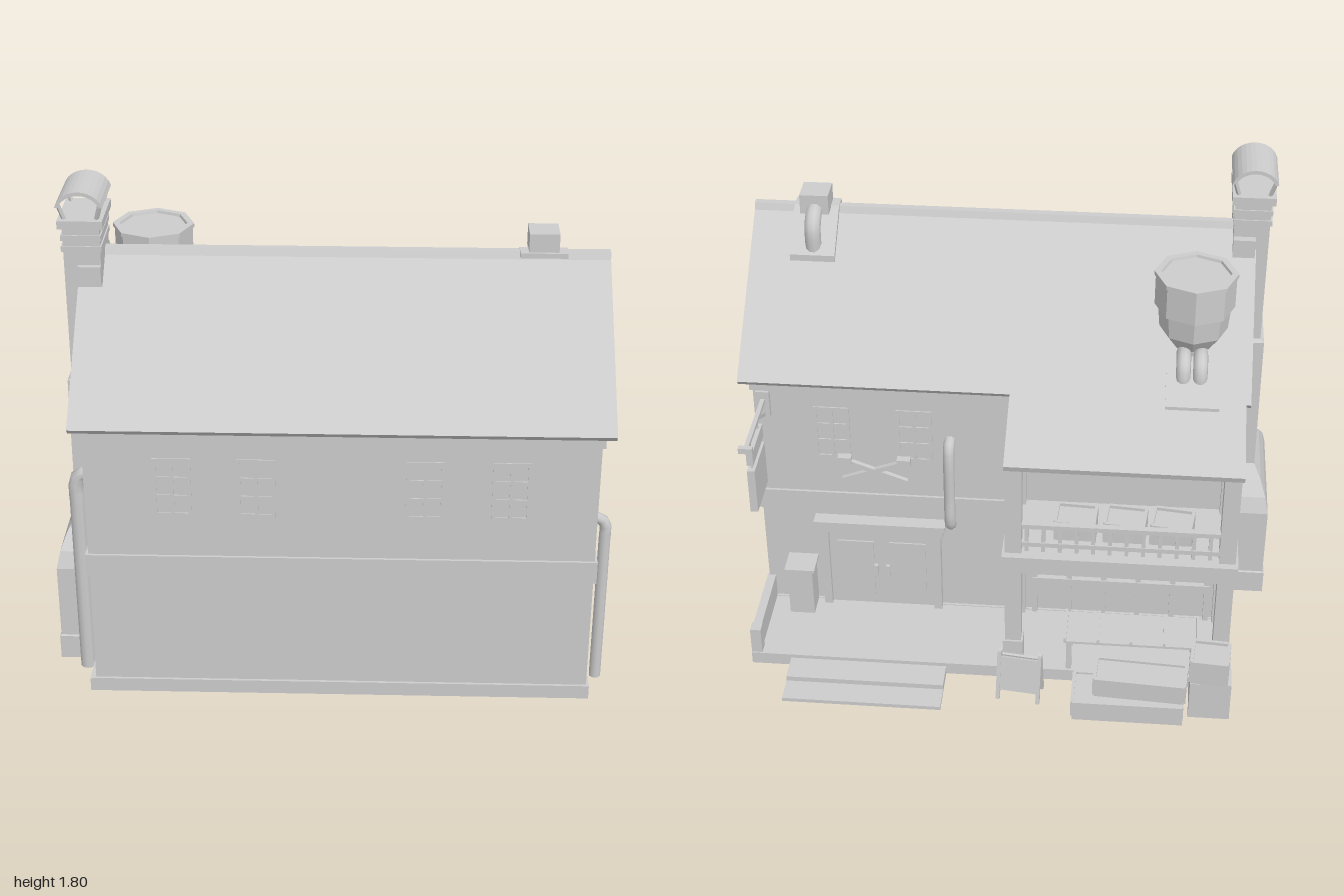
import * as THREE from 'three';

export function createModel() {
  const root = new THREE.Group();
  const mat = new THREE.MeshStandardMaterial({ color: 0xcccccc, side: THREE.DoubleSide });
  const flat = new THREE.MeshStandardMaterial({ color: 0xcccccc, side: THREE.DoubleSide, flatShading: true });

  const add = (name, geo, m = mat, parent = root) => {
    const mesh = new THREE.Mesh(geo, m);
    mesh.name = name;
    parent.add(mesh);
    return mesh;
  };
  // Box given by its limits on each axis
  const box = (name, x0, x1, y0, y1, z0, z1, parent = root) => {
    const b = add(name, new THREE.BoxGeometry(x1 - x0, y1 - y0, z1 - z0), mat, parent);
    b.position.set((x0 + x1) / 2, (y0 + y1) / 2, (z0 + z1) / 2);
    return b;
  };
  // Side profile of [z, y] points stretched along x
  const prism = (name, pts, x0, x1) => {
    const shape = new THREE.Shape(pts.map(p => new THREE.Vector2(p[0], p[1])));
    const g = new THREE.ExtrudeGeometry(shape, { depth: x1 - x0, bevelEnabled: false });
    return add(name, g.rotateY(-Math.PI / 2).translate(x1, 0, 0));
  };
  const pipe = (name, pts, r) => {
    const c = new THREE.CatmullRomCurve3(pts.map(p => new THREE.Vector3(...p)), false, 'centripetal');
    return add(name, new THREE.TubeGeometry(c, 28, r, 10));
  };
  // Straight square bar between two points
  const bar = (name, a, b, t) => {
    const p = new THREE.Vector3(...a), q = new THREE.Vector3(...b);
    const m = add(name, new THREE.BoxGeometry(t, t, p.distanceTo(q)));
    m.position.copy(p).add(q).multiplyScalar(0.5);
    m.lookAt(q);
    return m;
  };
  // Rectangular sections [y, x0, x1, z0, z1] joined from bottom to top
  const loft = (name, secs) => {
    const pos = [], idx = [];
    secs.forEach(([y, x0, x1, z0, z1], i) => {
      pos.push(x0, y, z0, x0, y, z1, x1, y, z1, x1, y, z0);
      if (i) for (let k = 0; k < 4; k++) {
        const a = (i - 1) * 4 + k, b = (i - 1) * 4 + (k + 1) % 4;
        idx.push(a, b, b + 4, a, b + 4, a + 4);
      }
    });
    const n = pos.length / 3 - 4;
    idx.push(n, n + 1, n + 2, n, n + 2, n + 3, 0, 2, 1, 0, 3, 2);
    const g = new THREE.BufferGeometry();
    g.setAttribute('position', new THREE.Float32BufferAttribute(pos, 3));
    g.setIndex(idx);
    g.computeVertexNormals();
    return add(name, g, flat);
  };

  // Ground slab with an opening underneath
  const slab = new THREE.Shape([[-0.86, -0.715], [0.94, -0.715], [0.94, 0.57], [-0.86, 0.57]].map(p => new THREE.Vector2(...p)));
  slab.holes.push(new THREE.Path([[-0.34, -0.345], [-0.34, 0.22], [0.53, 0.22], [0.53, -0.345]].map(p => new THREE.Vector2(...p))));
  add('groundSlab', new THREE.ExtrudeGeometry(slab, { depth: 0.05, bevelEnabled: false }).rotateX(-Math.PI / 2).translate(0, 0.007, 0));

  // Walls and gables
  const gable = [[0.705, 0.05], [0.705, 1.125], [0.24, 1.52], [-0.225, 1.125], [-0.225, 0.05]];
  prism('gableWall', gable, 0.91, 0.93);
  prism('gableWall', gable, -0.84, -0.82);
  box('frontWall', -0.84, 0.93, 0.05, 1.12, 0.685, 0.705);
  box('backWall', -0.84, 0.93, 0.05, 1.12, -0.225, -0.205);

  // Horizontal trim bands around the walls
  const band = (y0, y1, d) => {
    box('trimFront', -0.84 - d, 0.93 + d, y0, y1, 0.7, 0.705 + d);
    box('trimBack', -0.84 - d, 0.93 + d, y0, y1, -0.225 - d, -0.22);
    box('trimSide', 0.92, 0.93 + d, y0, y1, -0.225, 0.705);
    box('trimSide', -0.84 - d, -0.83, y0, y1, -0.225, 0.705);
  };
  band(0.05, 0.06, 0.01);
  band(0.495, 0.58, 0.01);
  band(1.03, 1.1, 0.01);

  // Main roof, ridge cap and porch roof
  prism('mainRoof', [[0.24, 1.55], [0.768, 1.1], [0.75, 1.08], [0.24, 1.51], [-0.272, 1.08], [-0.288, 1.1]], -0.875, 0.97);
  prism('ridgeCap', [[0.215, 1.53], [0.225, 1.555], [0.252, 1.555], [0.265, 1.53]], -0.875, 0.97);
  prism('porchRoof', [[-0.205, 1.185], [-0.6, 1.008], [-0.592, 0.985], [-0.2, 1.16]], -0.855, -0.02);

  // Windows with frames and glazing bars
  const windowAt = (x, zFace, s) => {
    const g = new THREE.Group();
    g.name = 'window';
    for (const k of [-1, 0, 1]) box('upright', k * 0.06 - 0.006, k * 0.06 + 0.006, 0.74, 0.965, 0, 0.008, g);
    for (let i = 0; i < 4; i++) box('crossbar', -0.066, 0.066, 0.74 + i * 0.071, 0.752 + i * 0.071, 0, 0.008, g);
    g.position.set(x, 0, zFace);
    g.scale.z = s;
    root.add(g);
  };
  for (const x of [-0.535, -0.245, 0.335, 0.63]) windowAt(x, 0.701, 1);
  for (const x of [0.34, 0.645]) windowAt(x, -0.222, -1);

  // Chimney with rounded shoulders, collars and arched hood
  loft('chimney', [[0.007, -1, -0.83, 0.01, 0.51], [0.1, -1, -0.83, 0.01, 0.51], [0.105, -0.995, -0.83, 0.015, 0.505],
    [0.39, -0.995, -0.83, 0.015, 0.505], [0.45, -0.982, -0.83, 0.04, 0.48], [0.5, -0.962, -0.83, 0.085, 0.43], [0.54, -0.935, -0.82, 0.14, 0.37],
    [1.09, -0.932, -0.8, 0.145, 0.37], [1.1, -0.918, -0.79, 0.16, 0.36], [1.66, -0.918, -0.79, 0.16, 0.36]]);
  for (const [y, h, d] of [[1.58, 0.02, 0.005], [1.62, 0.02, 0.005], [1.665, 0.03, 0.013]])
    box('chimneyCollar', -0.92 - d, -0.79 + d, y, y + h, 0.16 - d, 0.36 + d);
  box('chimneyFlashing', -0.87, -0.79, 1.46, 1.53, 0.13, 0.38);
  const hood = new THREE.Shape();
  hood.moveTo(-0.937, 1.745);
  hood.bezierCurveTo(-0.915, 1.82, -0.795, 1.82, -0.773, 1.745);
  hood.lineTo(-0.785, 1.745);
  hood.bezierCurveTo(-0.81, 1.802, -0.9, 1.802, -0.925, 1.745);
  add('chimneyHood', new THREE.ExtrudeGeometry(hood, { depth: 0.225, bevelEnabled: false }).translate(0, 0, 0.15));
  for (const sx of [-1, 1]) for (const z of [0.175, 0.345])
    bar('hoodLeg', [-0.855 + sx * 0.055, 1.69, z], [-0.855 + sx * 0.072, 1.75, z + (z - 0.26) * 0.15], 0.012);

  // Eight-sided roof tank with its feed pipes
  const tank = [[0, 1.12], [0.075, 1.12], [0.078, 1.23], [0.122, 1.29], [0.13, 1.375], [0.143, 1.38], [0.143, 1.5],
    [0.149, 1.5], [0.149, 1.515], [0.125, 1.515], [0.122, 1.505], [0, 1.505]];
  add('roofTank', new THREE.LatheGeometry(tank.map(p => new THREE.Vector2(...p)), 8), flat).position.set(-0.66, 0, -0.08);
  prism('tankPipePlate', [[-0.21, 1.195], [-0.36, 1.128], [-0.36, 1.11], [-0.21, 1.17]], -0.76, -0.57);
  for (const x of [-0.69, -0.63])
    pipe('tankPipe', [[x, 1.22, -0.13], [x, 1.23, -0.2], [x, 1.215, -0.232], [x, 1.185, -0.245], [x, 1.13, -0.245]], 0.026);

  // Ridge vent
  prism('ventPlate', [[0.28, 1.558], [0.22, 1.558], [0.07, 1.43], [0.07, 1.4], [0.24, 1.54], [0.28, 1.54]], 0.655, 0.82);
  box('ventBox', 0.685, 0.79, 1.55, 1.625, 0.165, 0.27);
  pipe('ventPipe', [[0.737, 1.565, 0.19], [0.737, 1.555, 0.14], [0.737, 1.52, 0.11], [0.737, 1.42, 0.108]], 0.03);

  // Downpipes
  pipe('drainPipe', [[0.92, 0.675, 0.565], [0.955, 0.675, 0.565], [0.977, 0.645, 0.565], [0.977, 0.6, 0.565], [0.977, 0.007, 0.565]], 0.021);
  pipe('drainPipe', [[-0.83, 0.82, 0.55], [-0.875, 0.815, 0.55], [-0.892, 0.775, 0.55], [-0.892, 0.7, 0.55], [-0.892, 0.007, 0.55]], 0.028);
  pipe('drainPipe', [[0.21, 0.84, -0.22], [0.21, 0.83, -0.255], [0.21, 0.79, -0.267], [0.21, 0.6, -0.267],
    [0.21, 0.51, -0.267], [0.21, 0.475, -0.255], [0.21, 0.455, -0.22]], 0.021);

  // Balcony, posts and brackets
  box('balconyFloor', -0.85, -0.02, 0.5, 0.55, -0.555, -0.22);
  box('balconyEdge', -0.86, -0.01, 0.55, 0.585, -0.572, -0.22);
  box('porchBeam', -0.85, -0.03, 0.985, 1.015, -0.54, -0.49);
  for (const x of [-0.82, -0.05]) {
    box('porchPost', x - 0.03, x + 0.03, 0.05, 1.0, -0.545, -0.482);
    box('postFoot', x - 0.037, x + 0.037, 0.05, 0.17, -0.553, -0.475);
    box('wallPost', x - 0.025, x + 0.025, 0.05, 1.1, -0.255, -0.22);
    prism('balconyBracket', [[-0.22, 0.505], [-0.385, 0.505], [-0.375, 0.475], [-0.26, 0.452], [-0.22, 0.452]], x - 0.02, x + 0.02);
    bar('roofBeam', [x, 1.01, -0.5], [x, 1.12, -0.24], 0.03);
    bar('postBracket', [x, 0.93, -0.5], [x, 1.02, -0.42], 0.018);
  }
  // Railings
  for (const y of [0.61, 0.69]) {
    box('rail', -0.82, -0.05, y, y + 0.018, -0.535, -0.51);
    for (const x of [-0.82, -0.05]) box('sideRail', x - 0.01, x + 0.01, y, y + 0.018, -0.51, -0.25);
  }
  for (let i = 1; i < 13; i++) box('baluster', -0.825 + i * 0.06, -0.811 + i * 0.06, 0.585, 0.69, -0.53, -0.515);
  for (const x of [-0.82, -0.05]) for (const z of [-0.46, -0.41, -0.36])
    box('sideBaluster', x - 0.007, x + 0.007, 0.585, 0.69, z - 0.007, z + 0.007);
  // Open crate: four sides and a filling
  const crate = (x, y, z, w, h, d, turn = 0) => {
    const g = new THREE.Group();
    g.name = 'crate';
    box('crateFilling', -w / 2, w / 2, 0, h * 0.88, -d / 2, d / 2, g);
    for (const s of [-1, 1]) {
      box('crateSide', s * w / 2 - 0.006, s * w / 2 + 0.006, 0, h, -d / 2, d / 2, g);
      box('crateFace', -w / 2, w / 2, 0, h, s * d / 2 - 0.006, s * d / 2 + 0.006, g);
    }
    g.position.set(x, y, z);
    g.rotation.y = turn;
    root.add(g);
  };
  for (const x of [-0.62, -0.45, -0.27]) crate(x, 0.585, -0.42, 0.14, 0.1, 0.11, x * 0.2);

  // Double door with frame, lintel and crossed ornament
  for (const x of [0.38, 0.58]) {
    box('doorLeaf', x - 0.1, x + 0.1, 0.05, 0.4, -0.24, -0.22);
    box('doorPanel', x - 0.07, x + 0.07, 0.1, 0.36, -0.246, -0.24);
    box('doorHandle', x + (x < 0.5 ? 0.07 : -0.085), x + (x < 0.5 ? 0.085 : -0.07), 0.2, 0.25, -0.255, -0.24);
  }
  for (const x of [0.265, 0.695]) box('doorPost', x - 0.015, x + 0.015, 0.05, 0.45, -0.26, -0.22);
  box('doorLintel', 0.24, 0.72, 0.41, 0.45, -0.265, -0.22);
  box('doorCornice', 0.23, 0.73, 0.45, 0.47, -0.28, -0.22);
  for (const s of [-1, 1]) {
    bar('crossedBar', [0.49 - s * 0.12, 0.66, -0.25], [0.49 + s * 0.12, 0.75, -0.25], 0.018);
    box('crossedHead', 0.49 + s * 0.11 - 0.025, 0.49 + s * 0.11 + 0.025, 0.735, 0.765, -0.265, -0.235);
  }

  // Shop front and display table below the balcony
  box('shopSill', -0.78, -0.1, 0.2, 0.23, -0.25, -0.22);
  box('shopHeader', -0.78, -0.1, 0.44, 0.47, -0.25, -0.22);
  for (let i = 0; i < 6; i++) box('shopMullion', -0.78 + i * 0.132, -0.76 + i * 0.132, 0.05, 0.47, -0.245, -0.22);
  box('displayTable', -0.74, -0.24, 0.19, 0.2, -0.57, -0.4);
  for (let i = 0; i < 5; i++) box('tableDivider', -0.74 + i * 0.1225, -0.73 + i * 0.1225, 0.2, 0.212, -0.57, -0.4);
  for (const x of [-0.72, -0.26]) for (const z of [-0.55, -0.42]) box('tableLeg', x - 0.01, x + 0.01, 0.05, 0.19, z - 0.01, z + 0.01);

  // Cabinet, kerb and steps beside the door
  box('cabinet', 0.74, 0.835, 0.05, 0.26, -0.325, -0.22);
  box('cabinetTop', 0.73, 0.845, 0.26, 0.272, -0.332, -0.22);
  box('kerb', 0.905, 0.937, 0.05, 0.155, -0.54, -0.22);
  box('kerbPost', 0.9, 0.94, 0.05, 0.165, -0.565, -0.52);
  box('upperStep', 0.2, 0.79, 0.007, 0.042, -0.675, -0.565);
  box('lowerStep', 0.2, 0.79, 0.007, 0.022, -0.77, -0.67);

  // Goods stacked in front of the porch
  box('lowPallet', -0.69, -0.285, 0, 0.02, -0.77, -0.6);
  crate(-0.485, 0.015, -0.685, 0.4, 0.07, 0.165);
  crate(-0.53, 0.085, -0.675, 0.33, 0.08, 0.12, -0.06);
  box('sideStand', -0.86, -0.71, 0.007, 0.17, -0.73, -0.6);
  crate(-0.78, 0.17, -0.665, 0.13, 0.1, 0.12, -0.08);

  // Folding board
  const board = new THREE.Group();
  board.name = 'foldingBoard';
  for (const s of [-1, 1]) {
    const leaf = box('boardLeaf', -0.075, 0.075, 0.04, 0.18, -0.005, 0.005, board);
    leaf.position.z = s * 0.022;
    leaf.rotation.x = -s * 0.2;
    for (const x of [-0.075, 0.075]) {
      const leg = box('boardLeg', x - 0.007, x + 0.007, 0, 0.2, -0.008, 0.008, board);
      leg.position.z = s * 0.024;
      leg.rotation.x = -s * 0.2;
    }
  }
  board.position.set(-0.085, 0.003, -0.65);
  board.rotation.y = -0.12;
  root.add(board);

  // Hanging sign on a bracket
  box('signArm', 0.884, 0.9, 0.985, 1.0, -0.56, -0.22);
  box('signArmEnd', 0.868, 0.918, 0.982, 1.004, -0.565, -0.545);
  box('signWallPlate', 0.868, 0.918, 0.92, 1.03, -0.245, -0.22);
  bar('signBrace', [0.892, 0.93, -0.24], [0.892, 0.99, -0.35], 0.014);
  box('upperSign', 0.88, 0.904, 0.895, 0.95, -0.515, -0.33);
  box('lowerSign', 0.878, 0.906, 0.69, 0.87, -0.515, -0.33);
  for (const z of [-0.49, -0.36]) box('signHanger', 0.889, 0.895, 0.86, 0.99, z - 0.004, z + 0.004);

  return root;
}
